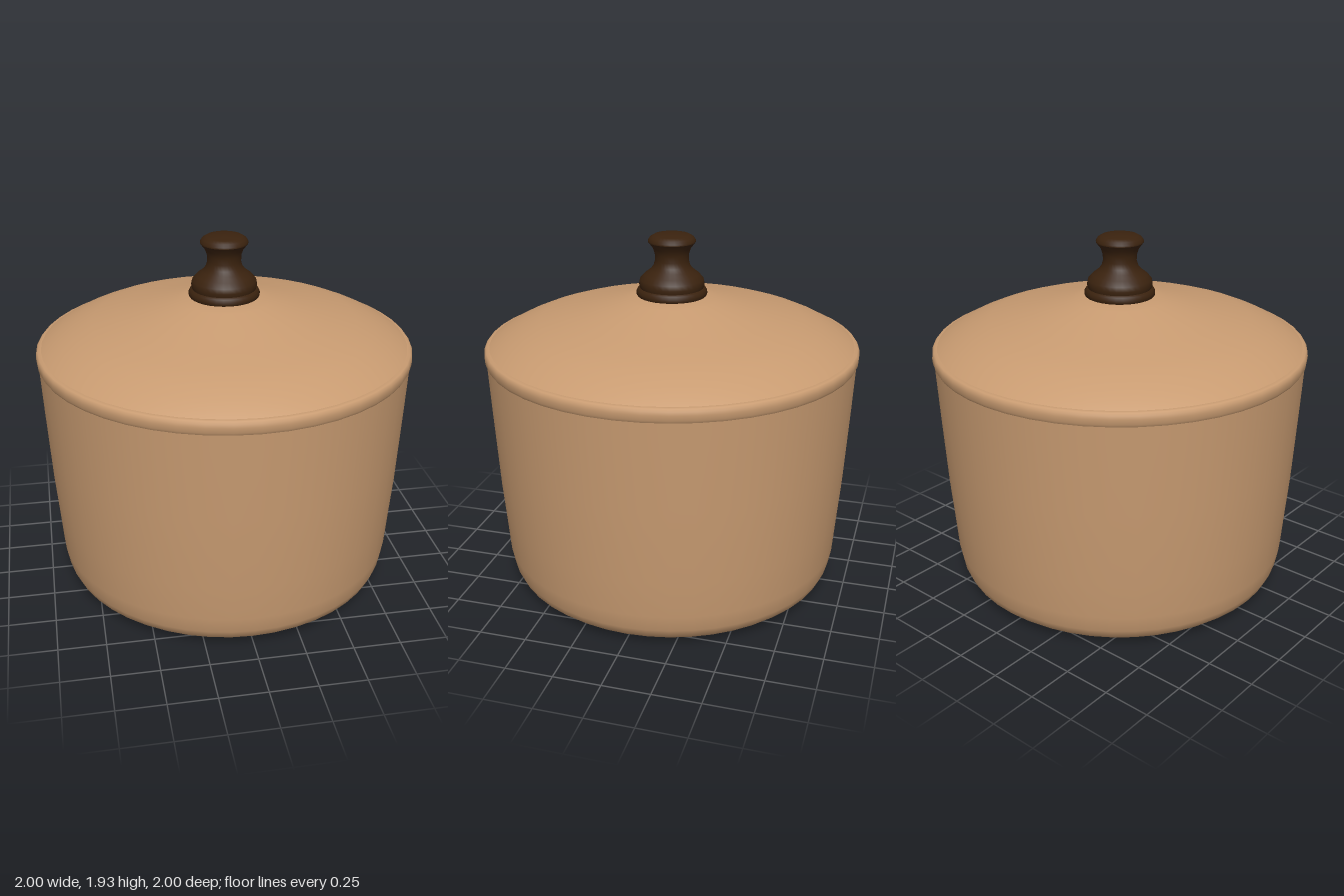
import * as THREE from 'three';

const clay = new THREE.MeshStandardMaterial({ color: 0xc89b71 });
clay.name = 'tan clay';
const wood = new THREE.MeshStandardMaterial({ color: 0x3a220e });
wood.name = 'dark wood';

// Turned part: profile of [radius, height] pairs, from bottom to top on the outside
function turned(name, profile, material, segments) {
  const points = profile.map(([r, y]) => new THREE.Vector2(r, y));
  const mesh = new THREE.Mesh(new THREE.LatheGeometry(points, segments), material);
  mesh.name = name;
  return mesh;
}

export function createModel() {
  const model = new THREE.Group();
  model.name = 'lidded pot';

  // Pot: slightly bulged base, rounded foot, flaring wall
  const pot = new THREE.Group();
  pot.name = 'pot';
  pot.add(
    turned('base', [[0, 0.005], [0.3, 0.008], [0.6, 0.013], [0.79, 0.018]], clay, 48),
    turned('wall', [
      [0.79, 0.018], [0.85, 0.035], [0.885, 0.065], [0.905, 0.11], [0.922, 0.2],
      [0.937, 0.4], [0.953, 0.6], [0.964, 0.8], [0.975, 1.0], [0.985, 1.2], [0.989, 1.28],
    ], clay, 48),
    // Thicker rim band, rolled inward over the lid seat
    turned('rim', [
      [0.989, 1.28], [0.997, 1.295], [0.999, 1.32], [0.997, 1.338], [0.988, 1.35], [0.972, 1.354], [0.94, 1.35],
    ], clay, 48),
  );

  // Lid: rounded shoulder rising to a shallow cone
  const lid = turned('lid', [
    [0.974, 1.352], [0.94, 1.375], [0.88, 1.408], [0.8, 1.444], [0.7, 1.478],
    [0.56, 1.51], [0.4, 1.55], [0.25, 1.588], [0.18, 1.604], [0, 1.61],
  ], clay, 48);

  // Knob: collar, bulb, waist and flared cap
  const knob = new THREE.Group();
  knob.name = 'knob';
  knob.add(
    turned('knobCollar', [
      [0.18, 1.6], [0.187, 1.61], [0.187, 1.625], [0.18, 1.638], [0.168, 1.645],
    ], wood, 32),
    turned('knobStem', [
      [0.168, 1.645], [0.173, 1.665], [0.168, 1.69], [0.145, 1.715], [0.115, 1.738],
      [0.097, 1.76], [0.088, 1.79], [0.09, 1.825], [0.1, 1.855], [0.124, 1.886],
    ], wood, 32),
    turned('knobCap', [
      [0.124, 1.886], [0.125, 1.895], [0.115, 1.91], [0.095, 1.922], [0.05, 1.93], [0, 1.932],
    ], wood, 32),
  );

  model.add(pot, lid, knob);
  return model;
}
